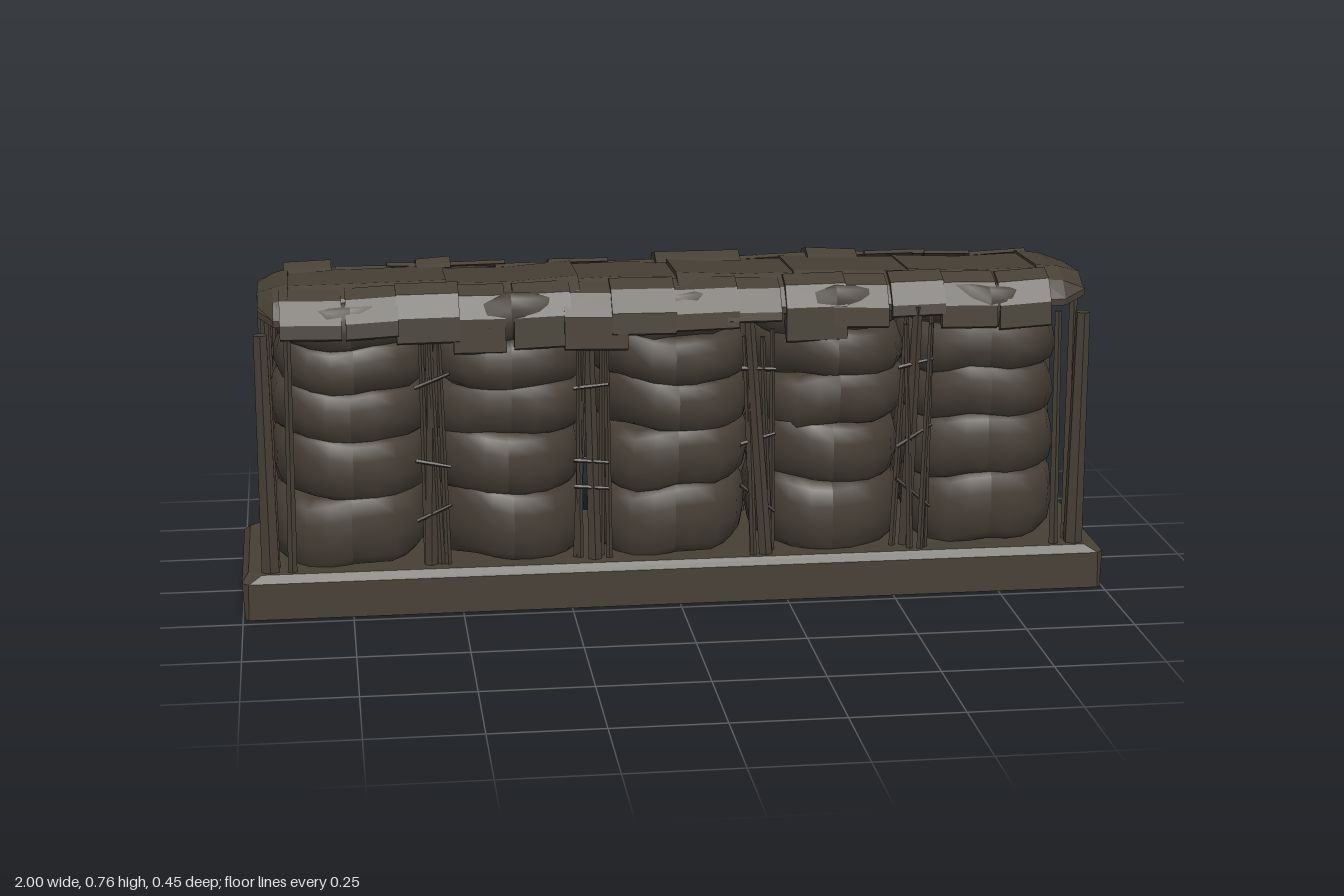
import * as THREE from 'three';

// small seeded generator for hand-made irregularity
let seed = 11;
const rnd = (a, b) => {
  seed = (seed * 16807) % 2147483647;
  return a + (b - a) * (seed / 2147483647);
};

export function createModel() {
  seed = 11;
  const model = new THREE.Group();
  const sackCloth = new THREE.MeshStandardMaterial({ color: 0x453e35 });
  sackCloth.name = 'sackCloth';
  const wood = new THREE.MeshStandardMaterial({ color: 0x463f35, flatShading: true });
  wood.name = 'weatheredWood';

  const add = (name, geo, mat) => {
    const m = new THREE.Mesh(geo, mat);
    m.name = name;
    model.add(m);
    return m;
  };

  // solid lofted through closed rings of equal length, capped at both ends
  const loft = (rings) => {
    const n = rings[0].length, idx = [];
    for (let r = 0; r < rings.length - 1; r++) {
      for (let i = 0; i < n; i++) {
        const a = r * n + i, b = r * n + (i + 1) % n;
        idx.push(a, b, b + n, a, b + n, a + n);
      }
    }
    const last = (rings.length - 1) * n;
    for (let i = 1; i < n - 1; i++) {
      idx.push(0, i + 1, i, last, last + i, last + i + 1);
    }
    const g = new THREE.BufferGeometry();
    g.setAttribute('position', new THREE.Float32BufferAttribute(rings.flat(2), 3));
    g.setIndex(idx);
    g.computeVertexNormals();
    return g;
  };

  // base slab with worn corners and a bevelled upper rim
  const slabRing = (y, hx, hz, c) => [
    [hx - c, y, hz], [hx, y, hz - c], [hx, y, -hz + c], [hx - c, y, -hz],
    [-hx + c, y, -hz], [-hx, y, -hz + c], [-hx, y, hz - c], [-hx + c, y, hz],
  ];
  add('baseSlab', loft([
    slabRing(0, 0.995, 0.225, 0.008), slabRing(0.085, 1, 0.225, 0.015),
    slabRing(0.103, 0.985, 0.212, 0.03),
  ]), wood);

  // one bulging sack: a rounded lathe crumpled by a rule
  const sack = (x, y0, h, rx, rz) => {
    const profile = [[0.01, 0], [0.84, 0], [0.94, 0.12], [1, 0.4], [0.99, 0.68], [0.94, 0.9], [0.82, 1], [0.01, 1]]
      .map(([r, y]) => new THREE.Vector2(r, y));
    const g = new THREE.LatheGeometry(profile, 22);
    const p = g.attributes.position, ph = rnd(0, 6), sag = rnd(0.006, 0.014);
    for (let i = 0; i < p.count; i++) {
      const px = p.getX(i), pz = p.getZ(i), t = p.getY(i);
      const r = Math.hypot(px, pz), a = Math.atan2(pz, px);
      const c = Math.cos(a), s = Math.sin(a);
      const k = r / Math.pow(Math.abs(c) ** 2.5 + Math.abs(s) ** 2.5, 1 / 2.5);
      const w = 1 + 0.02 * Math.sin(3 * a + ph) + 0.02 * Math.sin(7 * a + ph * 2 + t * 5);
      const fold = sag * r * (Math.sin(2 * a + ph) + 0.5 * Math.sin(5 * a + ph));
      p.setXYZ(i, x + c * k * w * rx, y0 + t * h + fold, s * k * w * rz);
    }
    g.computeVertexNormals();
    add('sack', g, sackCloth);
  };

  // five stacks of five sacks
  const columns = [-0.74, -0.383, -0.005, 0.367, 0.73];
  const levels = [0.105, 0.265, 0.4, 0.515, 0.618, 0.715];
  columns.forEach((x) => {
    for (let l = 0; l < 5; l++) {
      sack(x + rnd(-0.008, 0.008), levels[l] - 0.005, levels[l + 1] - levels[l] + 0.014,
        rnd(0.176, 0.188), rnd(0.187, 0.199));
    }
  });

  // rough tapered stake between two points
  const stake = (name, a, b, r, sides = 5) => {
    const from = new THREE.Vector3(...a), to = new THREE.Vector3(...b);
    const d = to.clone().sub(from);
    const m = add(name, new THREE.CylinderGeometry(r * 0.75, r, d.length(), sides), wood);
    m.position.copy(from).addScaledVector(d, 0.5);
    m.quaternion.setFromUnitVectors(new THREE.Vector3(0, 1, 0), d.normalize());
  };

  // leaning bundles of stakes in the gaps, front and back
  const gaps = [-0.56, -0.2, 0.185, 0.55];
  for (const z of [1, -1]) {
    gaps.forEach((x) => {
      for (let i = 0; i < 5; i++) {
        const bx = x + (i - 2) * 0.015;
        stake('gapStake', [bx + rnd(-0.02, 0.02), 0.1, z * rnd(0.15, 0.195)],
          [bx + rnd(-0.025, 0.025), rnd(0.6, 0.7), z * rnd(0.155, 0.185)], i === 2 ? 0.016 : 0.008);
      }
      // short cross twigs tying each bundle
      for (const y of [0.24, 0.36, 0.52]) {
        stake('tieTwig', [x - 0.04, y + rnd(-0.04, 0.04), z * 0.18],
          [x + 0.04, y + rnd(-0.04, 0.04), z * 0.185], 0.005, 4);
      }
    });
  }

  // corner posts
  for (const s of [-1, 1]) {
    stake('cornerPost', [s * 0.935, 0.1, 0.182], [s * 0.94, 0.655, 0.182], 0.023, 6);
    stake('cornerPost', [s * 0.93, 0.1, -0.142], [s * 0.935, 0.675, -0.148], 0.022, 6);
    stake('sidePost', [s * 0.925, 0.1, 0.152], [s * 0.93, 0.68, 0.13], 0.013);
    stake('sidePost', [s * 0.885, 0.1, 0.192], [s * 0.88, 0.66, 0.188], 0.011);
    stake('sidePost', [s * 0.88, 0.1, -0.195], [s * 0.885, 0.68, -0.19], 0.014);
    stake('sidePost', [s * 0.925, 0.1, -0.185], [s * 0.915, 0.62, -0.17], 0.009);
  }

  // cover: bent panels laid across the stacks, narrowing over the end sacks
  const coverRing = (x, dy, zs, hem) => [
    [x, hem, 0.182 * zs], [x, hem + 0.015, 0.182 * zs], [x, 0.726 + dy, 0.15 * zs],
    [x, 0.75 + dy, 0.1 * zs], [x, 0.742 + dy, -0.1 * zs], [x, 0.726 + dy, -0.165 * zs],
    [x, hem + 0.025, -0.19 * zs], [x, hem, -0.192 * zs],
  ].reverse();
  const seams = [-0.945, -0.875, -0.52, -0.22, 0.02, 0.29, 0.56, 0.86, 0.955];
  for (let i = 0; i < seams.length - 1; i++) {
    const a = seams[i] - (i ? 0.015 : 0), b = seams[i + 1];
    const edge = (x) => (Math.abs(x) > 0.93
      ? coverRing(x, -0.022, 0.76, 0.685)
      : coverRing(x, rnd(-0.006, 0.006), rnd(0.98, 1.02), 0.67));
    const middle = coverRing((a + b) / 2, rnd(-0.009, 0), rnd(0.95, 1), 0.67);
    add('coverPanel', loft([edge(a), middle, edge(b)]), wood);
  }

  // bent strip of cloth following an outer profile of [z, y] points, side +1 front or -1 back
  const bentStrip = (name, x, w, outer, side, thick) => {
    const ring = (px, j) => {
      const inner = outer.map(([z, y]) => [z - thick, y - thick * 0.5]).reverse();
      const pts = [...outer, ...inner].map(([z, y]) => [px, y + j, z * side]);
      return side > 0 ? pts.reverse() : pts;
    };
    add(name, loft([ring(x - w / 2, rnd(-0.008, 0.004)), ring(x + w / 2, rnd(-0.008, 0.004))]), wood);
  };

  // ragged flaps folded over both long edges of the cover
  for (const side of [1, -1]) {
    for (let x = -0.82; x < 0.9; x += 0.125) {
      const hem = rnd(0.605, 0.665), out = rnd(0.19, 0.201);
      bentStrip('coverFlap', x + rnd(-0.015, 0.015), rnd(0.11, 0.16),
        [[out, hem], [out - 0.003, 0.682], [0.16, 0.73], [0.115, 0.747]], side, 0.012);
    }
  }

  // lifted folds along the back edge of the cover
  for (const [x, w] of [[-0.83, 0.11], [-0.54, 0.08], [0.08, 0.2], [0.4, 0.12]]) {
    bentStrip('coverFold', x, w, [[0.203, 0.7], [0.165, 0.745], [0.112, 0.76], [0.085, 0.75]], -1, 0.016);
  }
  return model;
}
